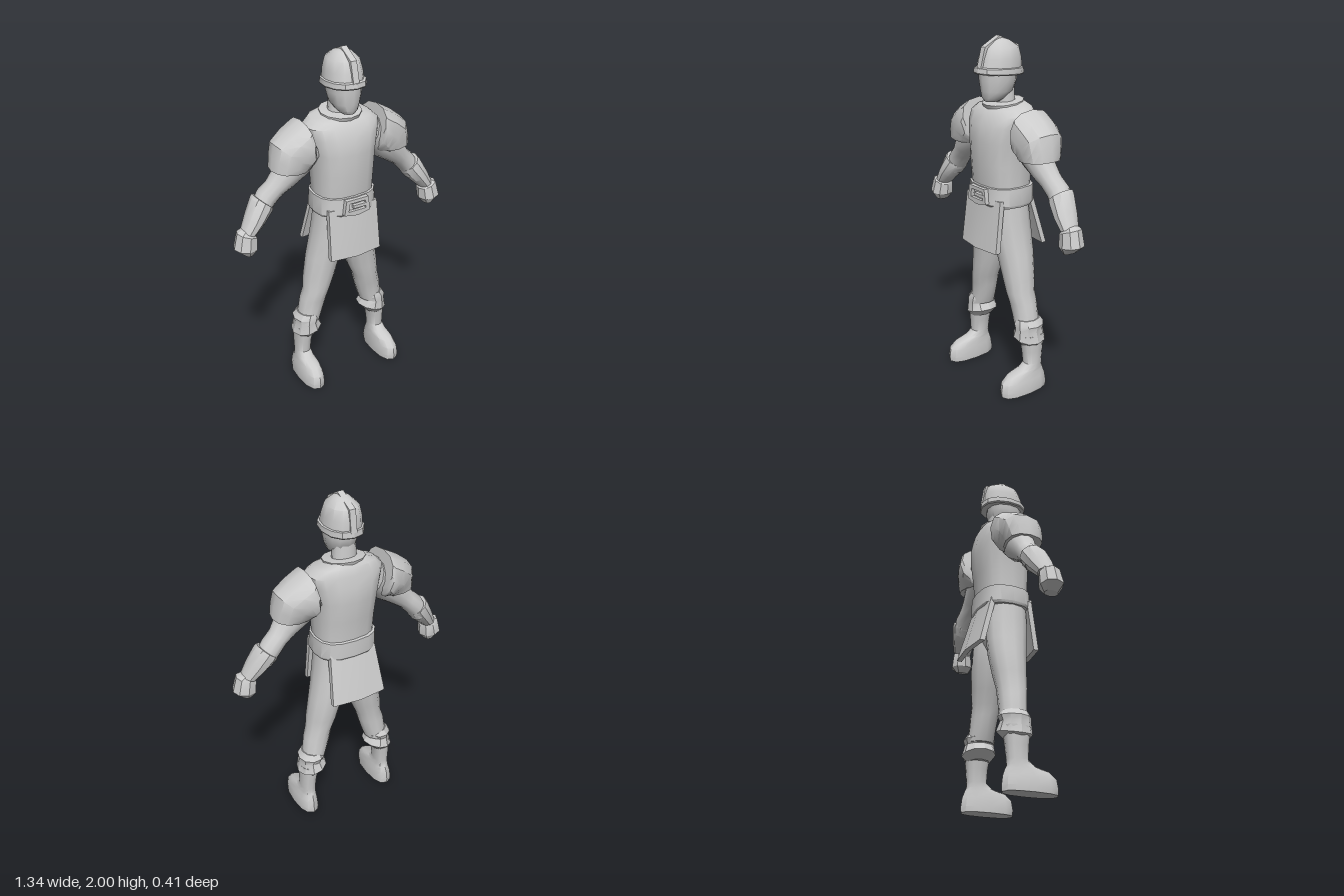
import * as THREE from 'three';
import { toCreasedNormals } from 'three/addons/utils/BufferGeometryUtils.js';

const grey = new THREE.MeshStandardMaterial({ color: 0xcccccc });

function makeMesh(name, geometry, crease) {
  const mesh = new THREE.Mesh(toCreasedNormals(geometry, crease), grey);
  mesh.name = name;
  return mesh;
}

// Skin of closed rings. Each section is [x1, y1, x2, y2, zBack, zFront, tilt]:
// the two ends of the ring in the xy plane, its depth range, and a forward rise.
// power below 1 makes the rings boxier.
function loft(name, sections, { sides = 12, power = 1, crease = 0.75 } = {}) {
  const pos = [], index = [];
  const bend = (v) => Math.sign(v) * Math.pow(Math.abs(v), power);
  for (const [x1, y1, x2, y2, z1, z2, tilt = 0] of sections) {
    for (let j = 0; j < sides; j++) {
      const t = (j / sides) * Math.PI * 2;
      const c = bend(Math.cos(t)) / 2, s = bend(Math.sin(t)) / 2;
      pos.push((x1 + x2) / 2 + (x2 - x1) * c, (y1 + y2) / 2 + (y2 - y1) * c + tilt * s, (z1 + z2) / 2 + (z2 - z1) * s);
    }
  }
  const last = (sections.length - 1) * sides;
  for (let i = 0; i < last; i += sides) {
    for (let j = 0; j < sides; j++) {
      const a = i + j, b = i + ((j + 1) % sides);
      index.push(a, a + sides, b, b, a + sides, b + sides);
    }
  }
  // end caps
  for (const [start, sec] of [[0, sections[0]], [last, sections[sections.length - 1]]]) {
    const mid = pos.length / 3;
    pos.push((sec[0] + sec[2]) / 2, (sec[1] + sec[3]) / 2, (sec[4] + sec[5]) / 2);
    for (let j = 0; j < sides; j++) {
      const a = start + j, b = start + ((j + 1) % sides);
      if (start === 0) index.push(mid, a, b);
      else index.push(mid, b, a);
    }
  }
  const g = new THREE.BufferGeometry();
  g.setAttribute('position', new THREE.Float32BufferAttribute(pos, 3));
  g.setIndex(index);
  return makeMesh(name, g, crease);
}

// Level ring from height, centre x, half width and depth range
const level = (y, x, w, z1, z2, tilt) => [x - w, y, x + w, y, z1, z2, tilt];

// The same part on the left (+x) and on the right (-x)
function pair(group, part, sections, options) {
  const mirrored = sections.map(([x1, y1, x2, y2, ...rest]) => [-x2, y2, -x1, y1, ...rest]);
  group.add(loft('left' + part, sections, options), loft('right' + part, mirrored, options));
}

// Stiff cloth panel, folded along its middle and sloping outwards
function panel(name, wTop, wBottom, yTop, yBottom, zTop, zBottom, keel) {
  const g = new THREE.BoxGeometry(2, 1, 0.03, 2, 1, 1);
  const p = g.attributes.position;
  const mix = THREE.MathUtils.lerp;
  for (let i = 0; i < p.count; i++) {
    const k = 0.5 - p.getY(i), x = p.getX(i);
    p.setXYZ(i, x * mix(wTop, wBottom, k), mix(yTop, yBottom, k), p.getZ(i) + mix(zTop, zBottom, k) + keel * (1 - Math.abs(x)));
  }
  return makeMesh(name, g, 0.4);
}

const points = (list) => list.map(([x, y]) => new THREE.Vector2(x, y));

export function createModel() {
  const model = new THREE.Group();
  model.name = 'armouredSoldier';

  // Trunk
  model.add(loft('pelvis', [
    level(0.86, 0, 0.07, -0.07, 0.07), level(0.95, 0, 0.15, -0.11, 0.11), level(1.14, 0, 0.165, -0.12, 0.13),
  ]));
  model.add(loft('breastplate', [
    level(1.12, 0, 0.17, -0.125, 0.135), level(1.21, 0, 0.17, -0.13, 0.145), level(1.32, 0, 0.175, -0.14, 0.152),
    level(1.44, 0, 0.185, -0.155, 0.155), level(1.53, 0, 0.205, -0.15, 0.145), level(1.59, 0, 0.215, -0.135, 0.115),
    level(1.625, 0, 0.175, -0.125, 0.095, -0.02), level(1.645, 0, 0.11, -0.1, 0.075, -0.03),
  ], { sides: 16, power: 0.75 }));
  model.add(loft('collar', [
    level(1.615, 0, 0.12, -0.11, 0.09, -0.03), level(1.65, 0, 0.12, -0.12, 0.105, -0.03), level(1.655, 0, 0.08, -0.08, 0.06, -0.02),
  ]));
  model.add(loft('belt', [
    level(1.085, 0, 0.18, -0.135, 0.15), level(1.1, 0, 0.186, -0.145, 0.16), level(1.195, 0, 0.18, -0.145, 0.155), level(1.2, 0, 0.165, -0.12, 0.13),
  ], { sides: 16, power: 0.75, crease: 0.5 }));
  model.add(panel('frontPanel', 0.155, 0.162, 1.13, 0.835, 0.115, 0.15, 0.022));
  model.add(panel('backPanel', 0.14, 0.167, 1.13, 0.835, -0.095, -0.175, -0.018));

  // Buckle: open frame and a tongue
  const frame = new THREE.Shape(points([[-0.07, 1.19], [-0.082, 1.105], [0, 1.09], [0.082, 1.105], [0.07, 1.19]]));
  frame.holes.push(new THREE.Path(points([[-0.05, 1.17], [0.05, 1.17], [0.055, 1.122], [-0.055, 1.122]])));
  const frameMesh = makeMesh('buckleFrame', new THREE.ExtrudeGeometry(frame, { depth: 0.03, bevelEnabled: false }), 0.4);
  frameMesh.position.z = 0.145;
  const tongue = makeMesh('buckleTongue', new THREE.BoxGeometry(0.09, 0.018, 0.03), 0.4);
  tongue.position.set(0.02, 1.146, 0.162);
  model.add(frameMesh, tongue);

  // Head
  model.add(loft('neck', [level(1.6, 0, 0.075, -0.075, 0.045), level(1.74, 0, 0.065, -0.065, 0.04)]));
  model.add(loft('head', [
    level(1.655, 0, 0.035, 0.015, 0.11), level(1.675, 0, 0.058, -0.01, 0.12), level(1.71, 0, 0.077, -0.06, 0.125),
    level(1.77, 0, 0.09, -0.078, 0.132), level(1.84, 0, 0.092, -0.08, 0.13),
  ], { power: 0.9 }));

  // Helmet: dome, brim and crest
  model.add(loft('helmetDome', [
    level(1.82, 0, 0.103, -0.11, 0.148), level(1.88, 0, 0.098, -0.108, 0.135), level(1.938, 0, 0.084, -0.093, 0.112),
    level(1.975, 0, 0.045, -0.04, 0.065), level(1.99, 0, 0.012, 0.005, 0.035),
  ], { power: 0.9 }));
  model.add(loft('helmetBrim', [
    level(1.798, 0, 0.108, -0.116, 0.157, 0.012), level(1.805, 0, 0.113, -0.121, 0.162, 0.012),
    level(1.833, 0, 0.111, -0.118, 0.158, 0.005), level(1.838, 0, 0.098, -0.105, 0.145, 0.005),
  ], { power: 0.9, crease: 0.5 }));
  const crestSide = new THREE.Shape(points([[-0.156, 1.825], [-0.124, 1.945], [-0.025, 2], [0.1, 1.945], [0.118, 1.825]]));
  const crest = new THREE.ExtrudeGeometry(crestSide, { depth: 0.036, bevelEnabled: false });
  crest.rotateY(Math.PI / 2).translate(-0.018, 0, 0);
  model.add(makeMesh('helmetCrest', crest, 0.4));

  // Arms, from the shoulder outwards
  pair(model, 'UpperArm', [
    [0.22, 1.58, 0.16, 1.4, -0.1, 0.08], [0.33, 1.5, 0.22, 1.33, -0.09, 0.075],
    [0.415, 1.375, 0.31, 1.275, -0.08, 0.06], [0.445, 1.325, 0.365, 1.24, -0.08, 0.045],
    [0.495, 1.28, 0.41, 1.195, -0.09, 0.04], [0.54, 1.2, 0.46, 1.13, -0.08, 0.04],
  ]);
  pair(model, 'Pauldron', [
    [0.24, 1.635, 0.195, 1.43, -0.15, 0.11], [0.255, 1.628, 0.2, 1.39, -0.16, 0.118], [0.33, 1.585, 0.205, 1.375, -0.155, 0.118],
    [0.4, 1.53, 0.21, 1.37, -0.14, 0.112], [0.418, 1.46, 0.215, 1.37, -0.125, 0.108],
    [0.427, 1.39, 0.225, 1.372, -0.11, 0.1], [0.395, 1.4, 0.25, 1.385, -0.085, 0.075],
  ], { power: 0.85, crease: 0.6 });
  pair(model, 'Bracer', [
    [0.525, 1.265, 0.425, 1.18, -0.095, 0.05], [0.54, 1.25, 0.43, 1.165, -0.095, 0.055],
    [0.585, 1.165, 0.49, 1.105, -0.075, 0.065], [0.62, 1.09, 0.545, 1.055, -0.05, 0.06],
  ], { sides: 10, crease: 0.6 });
  pair(model, 'Fist', [
    [0.615, 1.1, 0.55, 1.065, -0.035, 0.045], [0.648, 1.085, 0.538, 1.045, -0.045, 0.065],
    [0.672, 0.995, 0.543, 0.98, -0.05, 0.077], [0.625, 0.955, 0.575, 0.945, -0.025, 0.055],
  ], { sides: 8, power: 0.85, crease: 0.5 });

  // Legs, from the sole upwards
  pair(model, 'Boot', [
    level(0, 0.265, 0.063, -0.108, 0.2), level(0.03, 0.265, 0.064, -0.11, 0.203), level(0.08, 0.264, 0.058, -0.103, 0.195),
    level(0.115, 0.262, 0.05, -0.09, 0.155), level(0.135, 0.262, 0.046, -0.08, 0.075), level(0.165, 0.261, 0.043, -0.078, 0.035),
    level(0.24, 0.258, 0.048, -0.085, 0.04), level(0.34, 0.25, 0.058, -0.095, 0.055),
  ], { power: 0.8 });
  pair(model, 'BootCuff', [
    [0.185, 0.285, 0.29, 0.27, -0.085, 0.045], [0.142, 0.335, 0.32, 0.295, -0.118, 0.075],
    [0.167, 0.375, 0.305, 0.365, -0.1, 0.068], [0.15, 0.405, 0.31, 0.395, -0.11, 0.07], [0.16, 0.43, 0.285, 0.43, -0.09, 0.06],
  ], { sides: 10, crease: 0.5 });
  pair(model, 'Leg', [
    [0.15, 0.38, 0.29, 0.38, -0.095, 0.06], [0.125, 0.45, 0.275, 0.45, -0.09, 0.06], [0.105, 0.52, 0.265, 0.52, -0.09, 0.068],
    [0.09, 0.58, 0.245, 0.58, -0.09, 0.08], [0.055, 0.66, 0.24, 0.66, -0.1, 0.085], [0.018, 0.79, 0.217, 0.79, -0.115, 0.1],
    [0.003, 0.87, 0.2, 0.87, -0.118, 0.112], [-0.01, 1, 0.178, 1, -0.115, 0.125], [0, 1.12, 0.165, 1.12, -0.1, 0.12],
  ]);

  return model;
}
